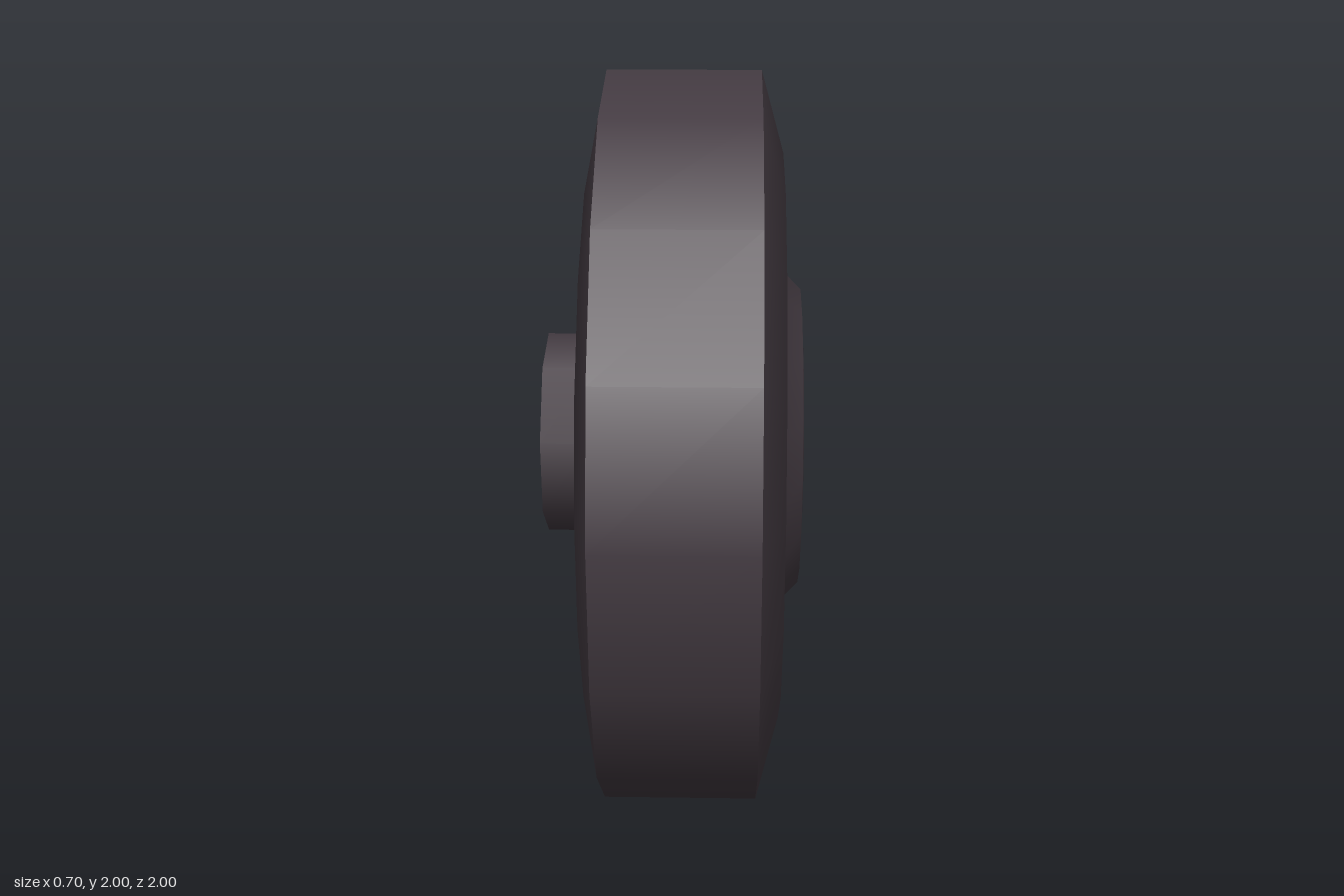
import * as THREE from 'three';

const rubber = new THREE.MeshStandardMaterial({ color: 0x443b42 });
rubber.name = 'dark rubber';

const rad = THREE.MathUtils.degToRad;

// Turn a profile of [radius, x] points around the x axis.
function turned(name, profile, sides, phase = 0, faceted = false) {
  let geo = new THREE.LatheGeometry(
    profile.map(([r, x]) => new THREE.Vector2(r, x)), sides, rad(phase));
  geo.rotateZ(-Math.PI / 2);
  if (faceted) {
    geo = geo.toNonIndexed();
    geo.computeVertexNormals();
  }
  const mesh = new THREE.Mesh(geo, rubber);
  mesh.name = name;
  return mesh;
}

function polygon(radius, sides, phase) {
  return Array.from({ length: sides }, (_, i) => {
    const a = rad(phase) + (i / sides) * Math.PI * 2;
    return new THREE.Vector2(Math.cos(a) * radius, Math.sin(a) * radius);
  });
}

export function createModel() {
  const wheel = new THREE.Group();
  wheel.name = 'wheel';

  // Tyre: tread band, dished outer face and plain inner face
  wheel.add(turned('tread', [[1, -0.18], [1, 0.23]], 16));
  wheel.add(turned('outerFace', [
    [1, 0.23], [0.78, 0.29], [0.67, 0.265], [0.55, 0.205], [0.41, 0.342], [0.3, 0.348],
  ], 16));
  wheel.add(turned('innerFace', [[0, -0.222], [0.78, -0.222], [1, -0.18]], 16));

  // Flat hub plate with an eight-sided opening
  const plate = new THREE.Shape(polygon(0.3, 16, 0));
  plate.holes.push(new THREE.Path(polygon(0.233, 8, 35)));
  const plateGeo = new THREE.ShapeGeometry(plate);
  plateGeo.rotateY(Math.PI / 2);
  const hubPlate = new THREE.Mesh(plateGeo, rubber);
  hubPlate.name = 'hubPlate';
  hubPlate.position.x = 0.348;
  wheel.add(hubPlate);

  // Recess and the bolt inside it
  wheel.add(turned('hubRecess', [[0.233, 0.348], [0.18, 0.2], [0, 0.2]], 8, 35, true));
  wheel.add(turned('bolt', [[0.112, 0.2], [0.088, 0.3], [0, 0.3]], 8, 22.5, true));

  // Axle stub on the inner side
  wheel.add(turned('axle', [[0.275, -0.35], [0.275, -0.222]], 8, 35));
  wheel.add(turned('axleCap', [[0, -0.35], [0.275, -0.35]], 8, 35));

  wheel.position.y = 1;
  const model = new THREE.Group();
  model.add(wheel);
  return model;
}
